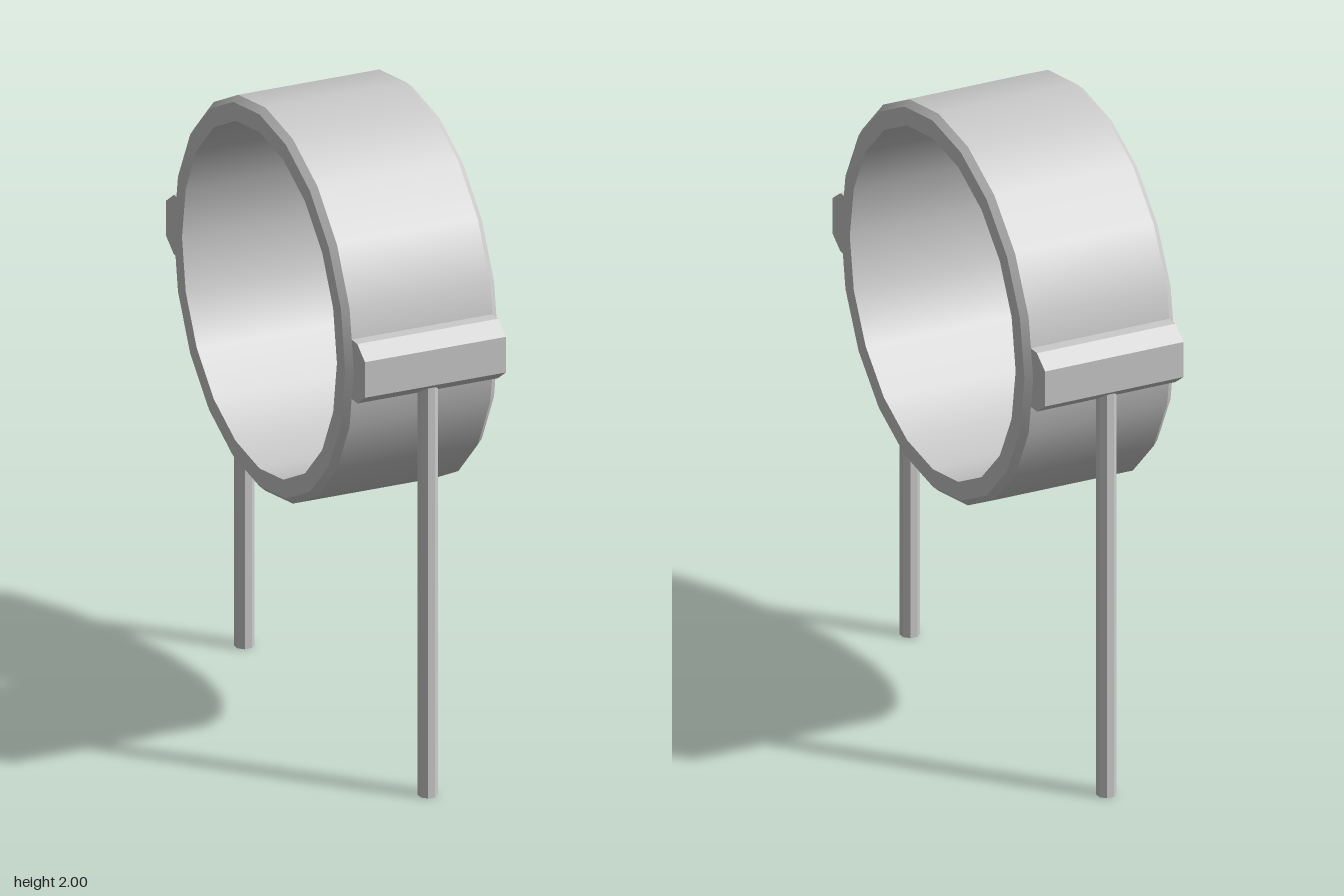
import * as THREE from 'three';
import { mergeGeometries } from 'three/addons/utils/BufferGeometryUtils.js';

const grey = new THREE.MeshStandardMaterial({ color: 0xcccccc });
const greyFlat = new THREE.MeshStandardMaterial({ color: 0xcccccc, flatShading: true, side: THREE.DoubleSide });
const RING_Y = 1.387;

function addMesh(group, name, geometry, material) {
  const mesh = new THREE.Mesh(geometry, material);
  mesh.name = name;
  group.add(mesh);
  return mesh;
}

// Ring: closed cross-section (radius, axial), one lathe per side so that its edges stay sharp
function ringGeometry() {
  const section = [[0.595, -0.25], [0.613, -0.23], [0.613, 0.23], [0.595, 0.25], [0.538, 0.25], [0.538, -0.25]]
    .map(([r, a]) => new THREE.Vector2(r, a));
  const bands = section.map((p, i) => new THREE.LatheGeometry([p, section[(i + 1) % section.length]], 20));
  return mergeGeometries(bands).rotateZ(Math.PI / 2);
}

// Bracket: bevelled block profile (z, y) extruded across the ring's width
function bracketGeometry() {
  const profile = [[0.57, -0.095], [0.637, -0.095], [0.69, -0.057], [0.69, 0.057], [0.637, 0.095], [0.57, 0.095]];
  const shape = new THREE.Shape(profile.map(([z, y]) => new THREE.Vector2(z, y)));
  return new THREE.ExtrudeGeometry(shape, { depth: 0.46, bevelEnabled: false })
    .translate(0, 0, -0.23)
    .rotateY(-Math.PI / 2);
}

export function createModel() {
  const model = new THREE.Group();
  model.name = 'ringOnLegs';

  addMesh(model, 'ring', ringGeometry(), grey).position.y = RING_Y;

  // A bracket with a hollow octagonal leg at the front and at the back
  for (const [name, turn] of [['front', 0], ['back', Math.PI]]) {
    const support = new THREE.Group();
    support.name = name + 'Support';
    addMesh(support, name + 'Bracket', bracketGeometry(), greyFlat).position.y = RING_Y;
    const leg = new THREE.CylinderGeometry(0.03, 0.03, 1.315, 8, 1, true).rotateY(Math.PI / 8);
    addMesh(support, name + 'Leg', leg, greyFlat).position.set(0, 1.315 / 2, 0.637);
    support.rotation.y = turn;
    model.add(support);
  }
  return model;
}
